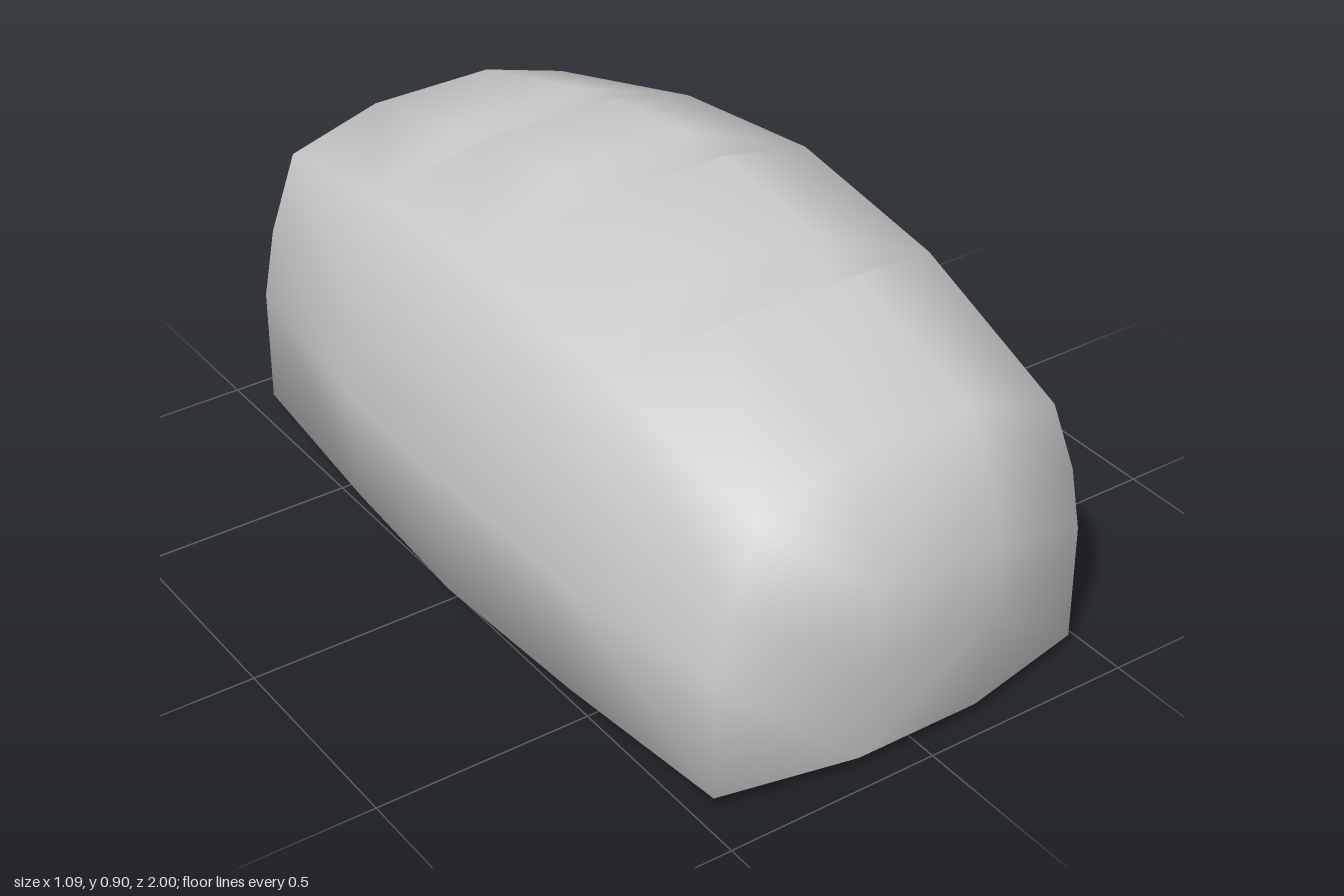
import * as THREE from 'three';
import { mergeVertices } from 'three/addons/utils/BufferGeometryUtils.js';

// Half cross-sections, from the inner bottom point up to the inner top point: [x, y]
const MIDDLE = [[0.2, 0.004], [0.515, 0.02], [0.545, 0.335], [0.515, 0.55], [0.425, 0.812]];
const QUARTER = [[0.18, 0.012], [0.495, 0.025], [0.52, 0.32], [0.49, 0.52], [0.41, 0.766]];
const SHOULDER = [[0.15, 0.033], [0.46, 0.035], [0.46, 0.31], [0.43, 0.47], [0.365, 0.65]];

// Each ring lists its right half as [x, y, z]; only the top point moves within a slash
const ring = (section, z, topY, topZ = z, topX = 0.157) =>
  [...section.map(([x, y]) => [x, y, z]), [topX, topY, topZ]];

// Narrow upright end of the loaf
const endRing = (s) => [[0.035, 0.95], [0.035, 0.95], [0.29, 0.99], [0.47, 1], [0.72, 0.88], [0.72, 0.88]]
  .map(([y, z]) => [0.15, y, s * z]);

// Front lip, groove and back lip of one slash, fading out at the side
const slash = (section, z, frontY, grooveY, backY) => [
  ring(section, z, frontY, z + 0.065),
  ring(section, z, grooveY),
  ring(section, z, backY, z - 0.07),
];

function loafGeometry() {
  const halves = [
    endRing(1),
    ring(SHOULDER, 0.885, 0.72, 0.88, 0.15),
    ...slash(QUARTER, 0.43, 0.826, 0.762, 0.86),
    ...slash(MIDDLE, -0.015, 0.902, 0.808, 0.902),
    ...slash(QUARTER, -0.43, 0.86, 0.762, 0.83),
    ring(SHOULDER, -0.89, 0.72, -0.88, 0.15),
    endRing(-1),
  ];
  // Mirror every half ring to a closed loop
  const rings = halves.map((h) => [...h, ...h.map(([x, y, z]) => [-x, y, z]).reverse()]);
  const n = rings[0].length;
  const positions = [];
  const same = (a, b) => a.every((v, k) => v === b[k]);
  const tri = (a, b, c) => {
    if (!same(a, b) && !same(b, c) && !same(c, a)) positions.push(...a, ...b, ...c);
  };
  const quad = (a, b, c, d) => { tri(a, b, d); tri(b, c, d); };

  // Crust between neighbouring rings
  for (let i = 0; i < rings.length - 1; i++) {
    for (let j = 0; j < n; j++) {
      const k = (j + 1) % n;
      quad(rings[i][j], rings[i + 1][j], rings[i + 1][k], rings[i][k]);
    }
  }
  // Flat strips closing both ends
  const first = rings[0], last = rings[rings.length - 1];
  for (let j = 0; j < n / 2 - 1; j++) {
    quad(first[j], first[j + 1], first[n - 2 - j], first[n - 1 - j]);
    quad(last[n - 1 - j], last[n - 2 - j], last[j + 1], last[j]);
  }

  const geometry = new THREE.BufferGeometry();
  geometry.setAttribute('position', new THREE.Float32BufferAttribute(positions, 3));
  const merged = mergeVertices(geometry);
  merged.computeVertexNormals();
  return merged;
}

export function createModel() {
  const group = new THREE.Group();
  group.name = 'breadLoaf';
  const loaf = new THREE.Mesh(loafGeometry(), new THREE.MeshStandardMaterial({ color: 0xcccccc }));
  loaf.name = 'slashedCrust';
  group.add(loaf);
  return group;
}
